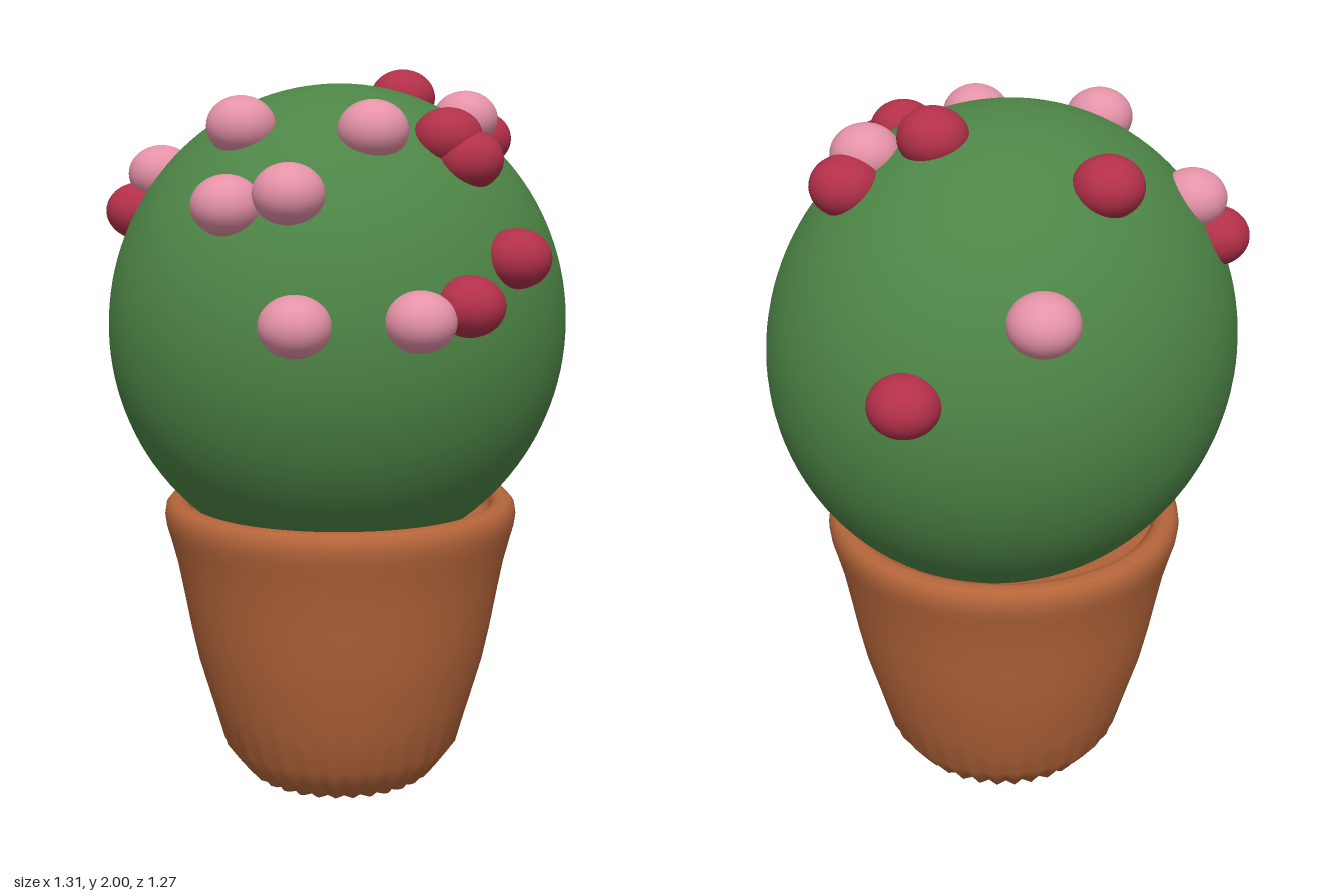
import * as THREE from 'three';
import { mergeVertices } from 'three/addons/utils/BufferGeometryUtils.js';

const CX = -0.005, CZ = -0.04; // shared axis of pot and cactus

const mat = (color) => new THREE.MeshStandardMaterial({ color });

// Turned pot with a rolled rim and fine flutes pinched in around the foot
function createPot(material) {
  const profile = [
    [0, 0.003], [0.12, 0.006], [0.2, 0.014], [0.235, 0.019], [0.255, 0.03], [0.29, 0.07], [0.335, 0.125],
    [0.372, 0.25], [0.405, 0.365], [0.425, 0.46], [0.443, 0.56], [0.46, 0.65], [0.478, 0.72],
    [0.488, 0.755], [0.492, 0.785], [0.488, 0.81], [0.475, 0.826], [0.455, 0.832],
    [0.435, 0.826], [0.42, 0.81], [0.41, 0.76], [0, 0.75],
  ].map(([r, y]) => new THREE.Vector2(r, y));
  let geo = new THREE.LatheGeometry(profile, 128);
  const p = geo.attributes.position;
  for (let i = 0; i < p.count; i++) {
    const x = p.getX(i), y = p.getY(i), z = p.getZ(i);
    const r = Math.hypot(x, z);
    const fade = Math.max(0, 1 - Math.abs(r - 0.26) / 0.1) * (y < 0.2 ? 1 : 0);
    const wave = Math.cos(Math.atan2(z, x) * 32) * 0.007 * fade;
    const s = 1 + wave / Math.max(r, 0.1);
    p.setXYZ(i, x * s, y - wave * 0.5, z * s);
  }
  geo.deleteAttribute('uv');
  geo.deleteAttribute('normal');
  geo = mergeVertices(geo, 1e-4);
  geo.computeVertexNormals();
  const pot = new THREE.Mesh(geo, material);
  pot.name = 'pot';
  pot.position.set(CX, 0, CZ);
  return pot;
}

// Slightly squashed buds sitting half sunk in the cactus, listed as centres
function createBuds(name, material, centres) {
  const group = new THREE.Group();
  group.name = name;
  const geo = new THREE.SphereGeometry(1, 32, 20);
  for (const [x, y, z] of centres) {
    const bud = new THREE.Mesh(geo, material);
    bud.name = 'bud';
    bud.position.set(x, y, z);
    bud.scale.set(0.09, 0.077, 0.09);
    group.add(bud);
  }
  return group;
}

export function createModel() {
  const model = new THREE.Group();
  model.name = 'pottedCactus';

  model.add(createPot(mat(0xb5653a)));

  // Cactus body, a little narrower front to back
  const body = new THREE.Mesh(new THREE.SphereGeometry(1, 96, 64), mat(0x4d8546));
  body.name = 'cactusBody';
  body.position.set(CX, 1.31, CZ);
  body.scale.set(0.65, 0.65, 0.595);
  model.add(body);

  model.add(createBuds('pinkBuds', mat(0xe592a8), [
    [0.29, 1.605, -0.515], [-0.37, 1.72, -0.355], [0.315, 1.865, 0.12],
    [-0.385, 1.85, 0.01], [-0.53, 1.66, 0.13], [-0.44, 1.69, 0.26],
    [-0.5, 1.38, 0.35], [-0.18, 1.84, 0.28], [-0.24, 1.385, 0.515],
  ]));
  model.add(createBuds('redBuds', mat(0xb23049), [
    [-0.415, 1.62, -0.4], [-0.02, 1.84, -0.4], [0.22, 1.923, -0.03],
    [0.403, 1.81, 0.09], [0.562, 1.415, -0.33], [-0.1, 1.415, 0.545],
    [0.09, 1.52, 0.525], [0.02, 1.82, 0.345], [0.05, 1.765, 0.39],
  ]));
  return model;
}
